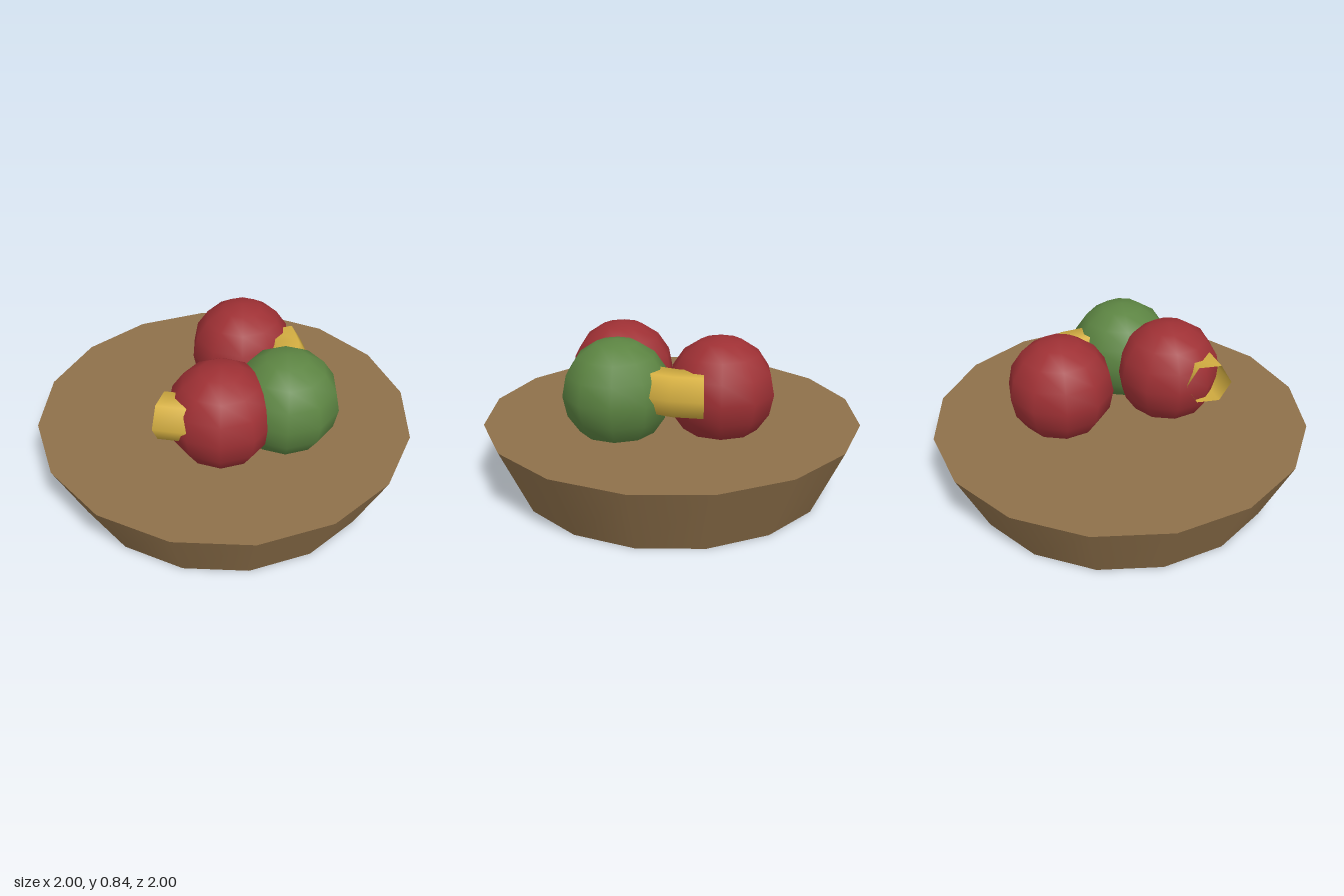
import * as THREE from 'three';

const material = (name, color, side = THREE.FrontSide) => {
  const m = new THREE.MeshStandardMaterial({ color, side });
  m.name = name;
  return m;
};

export function createModel() {
  const wood = material('wood brown', 0x8e704a);
  const red = material('apple red', 0x9e3034);
  const green = material('apple green', 0x5c8442);
  const yellow = material('banana yellow', 0xd6b042, THREE.DoubleSide);

  const model = new THREE.Group();
  model.name = 'fruitBowl';
  const add = (name, geometry, mat, x, y, z) => {
    const mesh = new THREE.Mesh(geometry, mat);
    mesh.name = name;
    mesh.position.set(x, y, z);
    model.add(mesh);
  };

  // Tapered solid bowl
  add('bowl', new THREE.CylinderGeometry(1, 0.84, 0.36, 16), wood, 0, 0.18, 0);

  // Round fruit sunk slightly into the bowl
  const fruit = new THREE.SphereGeometry(0.28, 10, 8);
  add('redAppleRight', fruit, red, -0.24, 0.56, 0.16);
  add('redAppleLeft', fruit, red, 0.3, 0.56, -0.1);
  add('greenApple', fruit, green, 0.04, 0.56, 0.36);

  // Banana: open-ended arc lying flat, curving round the front
  const banana = new THREE.TorusGeometry(0.5, 0.12, 6, 8, 2.2);
  banana.rotateZ(0.61);
  banana.rotateX(Math.PI / 2);
  add('banana', banana, yellow, 0, 0.6, -0.2);

  return model;
}
